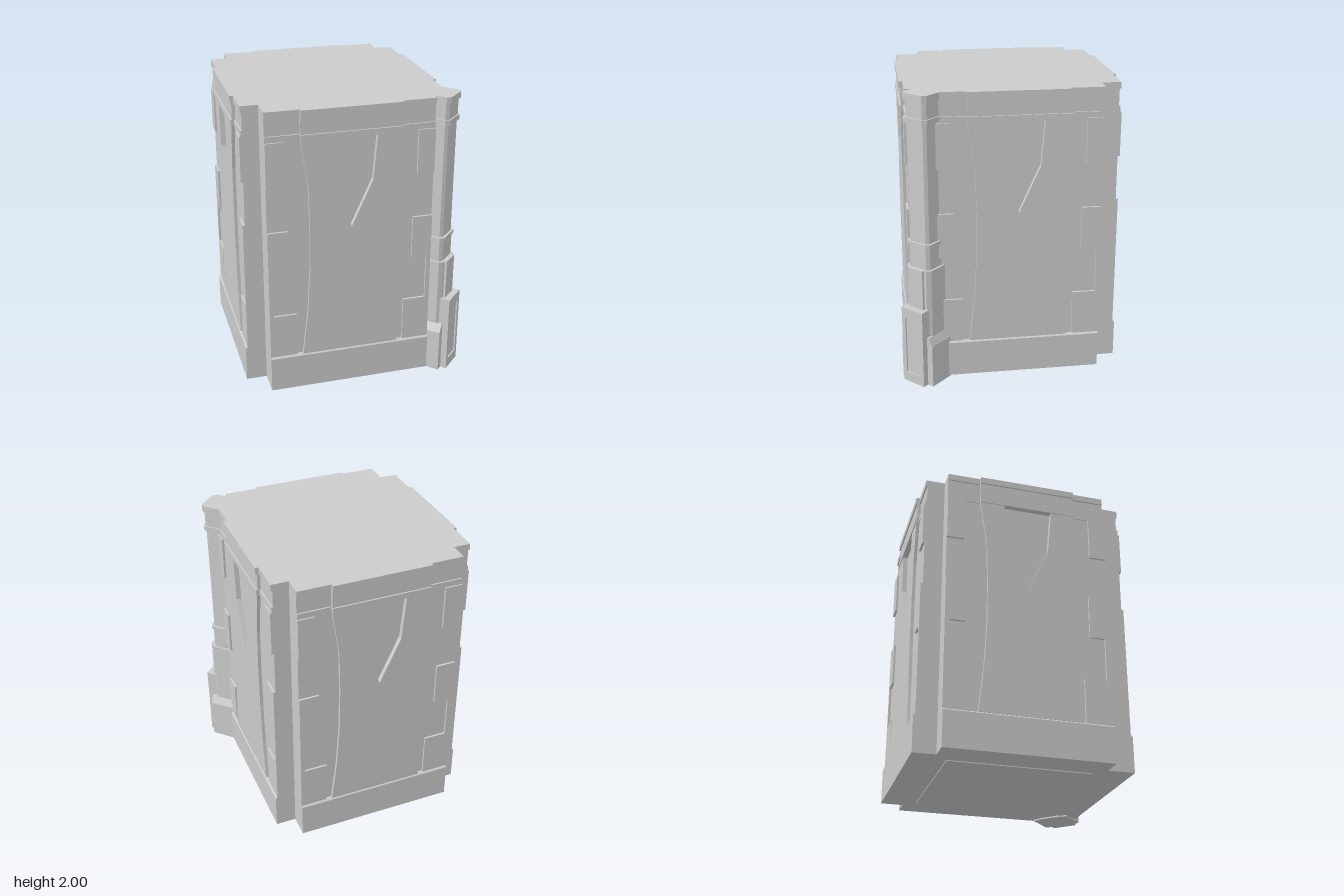
import * as THREE from 'three';

const mat = new THREE.MeshStandardMaterial({ color: 0xcccccc, flatShading: true });

function add(parent, name, geo) {
  const m = new THREE.Mesh(geo, mat);
  m.name = name;
  parent.add(m);
  return m;
}

// box given by its limits
function box(parent, name, x0, x1, y0, y1, z0, z1) {
  const g = new THREE.BoxGeometry(x1 - x0, y1 - y0, z1 - z0);
  g.translate((x0 + x1) / 2, (y0 + y1) / 2, (z0 + z1) / 2);
  return add(parent, name, g);
}

function shapeOf(pts) {
  return new THREE.Shape(pts.map(([x, y]) => new THREE.Vector2(x, y)));
}

function extrude(pts, depth) {
  return new THREE.ExtrudeGeometry(shapeOf(pts), { depth, bevelEnabled: false });
}

// upright prism with chamfered corners, z from zb to zf
function prism(parent, name, hw, zb, zf, c, y0, y1) {
  const g = extrude([
    [-hw + c, -zf], [hw - c, -zf], [hw, -zf + c], [hw, -zb - c],
    [hw - c, -zb], [-hw + c, -zb], [-hw, -zb - c], [-hw, -zf + c],
  ], y1 - y0);
  g.rotateX(-Math.PI / 2);
  g.translate(0, y0, 0);
  return add(parent, name, g);
}

const HALF = 0.56;   // half width of a wall
const CORE = -0.04;  // depth of the core behind the wall plane

// one decorated wall: local x along the wall, z outward, plane at z = 0
function makeWall(name) {
  const w = new THREE.Group();
  w.name = name;

  // plinth with a chamfered top edge
  const plinth = extrude([[CORE, 0.01], [0, 0.01], [0, 0.255], [-0.01, 0.265], [CORE, 0.265]], 2 * HALF);
  plinth.rotateY(-Math.PI / 2);
  plinth.scale(1, 1, 1);
  plinth.translate(HALF, 0, 0);
  add(w, 'plinth', plinth);

  // waisted central panel with a pointed recess cut from its top
  const side = [[0.335, 0.265], [0.3, 0.575], [0.282, 0.88], [0.28, 1.19], [0.288, 1.495], [0.335, 1.8]];
  const recess = [[0.168, 1.8], [0.142, 1.495], [0, 1.18], [-0.142, 1.495], [-0.168, 1.8]];
  const left = side.map(([x, y]) => [-x, y]).reverse();
  const panel = extrude([...side, ...recess, ...left], 0.034);
  panel.translate(0, 0, CORE);
  add(w, 'centralPanel', panel);

  // corner stones: bottom, top, inner edge of each raised stone
  const stones = [[0.265, 0.575, 0.375], [0.575, 0.88, 0.53], [0.88, 1.19, 0.425], [1.495, 1.8, 0.445]];
  for (const s of [-1, 1]) {
    const span = (a, b) => (s > 0 ? [a, b] : [-b, -a]);
    box(w, 'cornerFacing', ...span(0.27, HALF), 0.265, 1.8, CORE, -0.028);
    for (const [y0, y1, x] of stones) box(w, 'cornerStone', ...span(x, HALF), y0, y1, CORE, -0.013);
  }

  // cornice: two bands with a frieze between, stepping out at the centre
  for (const [y0, y1, d] of [[1.8, 1.84, 0], [1.84, 1.955, -0.01], [1.955, 2, 0]]) {
    box(w, 'corniceCentre', -0.335, 0.335, y0, y1, CORE, d);
    box(w, 'corniceEnd', -HALF, -0.335, y0, y1, CORE, d - 0.023);
    box(w, 'corniceEnd', 0.335, HALF, y0, y1, CORE, d - 0.023);
  }
  return w;
}

// corner column: local z points diagonally outward
function makeColumn() {
  const c = new THREE.Group();
  c.name = 'cornerColumn';

  // shaft, bands and cap: bottom, top, half width, chamfer
  const stack = [
    ['pier', 0, 0.83, 0.105, 0.025], ['collarBlock', 0.83, 0.985, 0.09, 0.02],
    ['collar', 0.985, 1.01, 0.1, 0.024], ['shaft', 1.01, 1.81, 0.084, 0.018],
    ['neckBand', 1.81, 1.845, 0.098, 0.024], ['neck', 1.845, 1.955, 0.088, 0.02],
    ['cap', 1.955, 2, 0.1, 0.024],
  ];
  for (const [name, y0, y1, h, ch] of stack) prism(c, name, h, -h, h, ch, y0, y1);
  box(c, 'pierFace', -0.062, 0.062, 0, 0.83, 0, 0.122);

  // broad foot with sloping shoulders
  const foot = extrude([[-0.135, 0], [0.135, 0], [0.135, 0.3], [0.105, 0.355], [-0.105, 0.355], [-0.135, 0.3]], 0.214);
  foot.translate(0, 0, -0.09);
  add(c, 'foot', foot);

  // front block with a sunken panel
  box(c, 'frontBlock', -0.09, 0.09, 0, 0.55, 0, 0.157);
  const frame = shapeOf([[-0.09, 0], [0.09, 0], [0.09, 0.55], [-0.09, 0.55]]);
  frame.holes.push(new THREE.Path([[-0.06, 0.07], [-0.06, 0.48], [0.06, 0.48], [0.06, 0.07]]
    .map(([x, y]) => new THREE.Vector2(x, y))));
  const g = new THREE.ExtrudeGeometry(frame, { depth: 0.01, bevelEnabled: false });
  g.translate(0, 0, 0.157);
  add(c, 'frontBlockFrame', g);

  c.position.set(0.573, 0, 0.567);
  c.rotation.y = Math.PI / 4;
  return c;
}

export function createModel() {
  const root = new THREE.Group();
  root.name = 'squareTower';

  // cross-shaped core leaves a notch at each corner
  const cx = -0.065, cz = -0.043;
  box(root, 'coreDepth', cx - HALF, cx + HALF, 0.01, 2, -0.757 - CORE, 0.7 + CORE);
  box(root, 'coreWidth', -0.765 - CORE, 0.635 + CORE, 0.01, 2, cz - HALF, cz + HALF);
  box(root, 'basePlate', cx - 0.48, cx + 0.48, 0.004, 0.02, cz - 0.48, cz + 0.48);

  // four walls: name, position, turn
  const walls = [
    ['frontWall', cx, 0.7, 0], ['rightWall', 0.635, cz, Math.PI / 2],
    ['backWall', cx, -0.757, Math.PI], ['leftWall', -0.765, cz, -Math.PI / 2],
  ];
  for (const [name, x, z, turn] of walls) {
    const w = makeWall(name);
    w.position.set(x, 0, z);
    w.rotation.y = turn;
    root.add(w);
  }

  root.add(makeColumn());
  return root;
}
